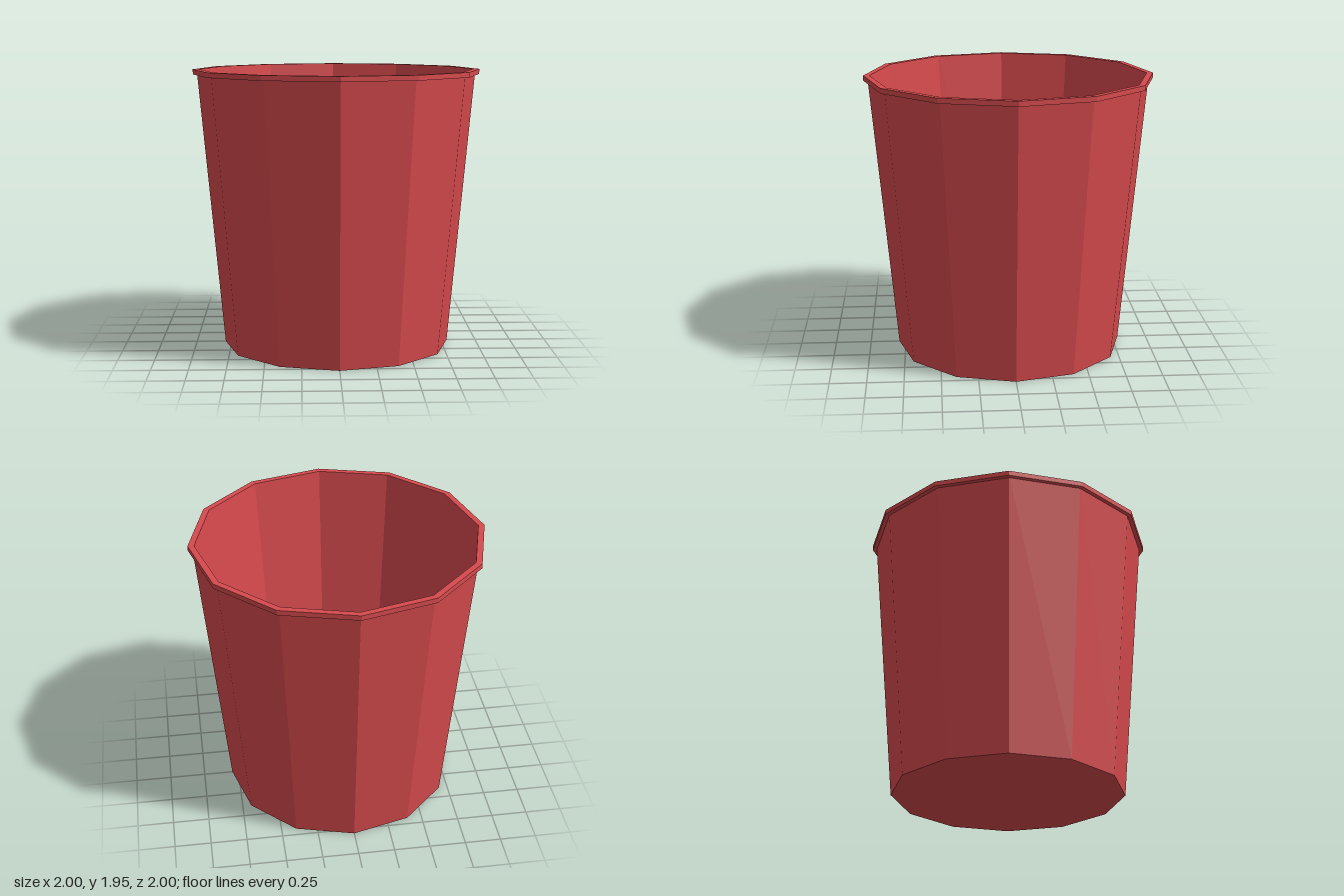
import * as THREE from 'three';

const SIDES = 12;

export function createModel() {
  const group = new THREE.Group();
  group.name = 'bucket';
  const material = new THREE.MeshStandardMaterial({ color: 0xd64a4d, flatShading: true });

  // Twelve-sided ring or vessel turned from a [radius, height] profile
  const addTurned = (name, profile) => {
    const points = profile.map(([r, y]) => new THREE.Vector2(r, y));
    const mesh = new THREE.Mesh(new THREE.LatheGeometry(points, SIDES), material);
    mesh.name = name;
    group.add(mesh);
  };

  // Tapered thin-walled body: underside, outer wall, lip, inner wall, floor
  addTurned('body', [
    [0, 0], [0.795, 0], [0.973, 1.945],
    [0.957, 1.945], [0.778, 0.015], [0, 0.015],
  ]);

  // Narrow flange around the top edge
  addTurned('rim', [
    [0.97, 1.91], [1, 1.91], [1, 1.945], [0.973, 1.945],
  ]);

  return group;
}
